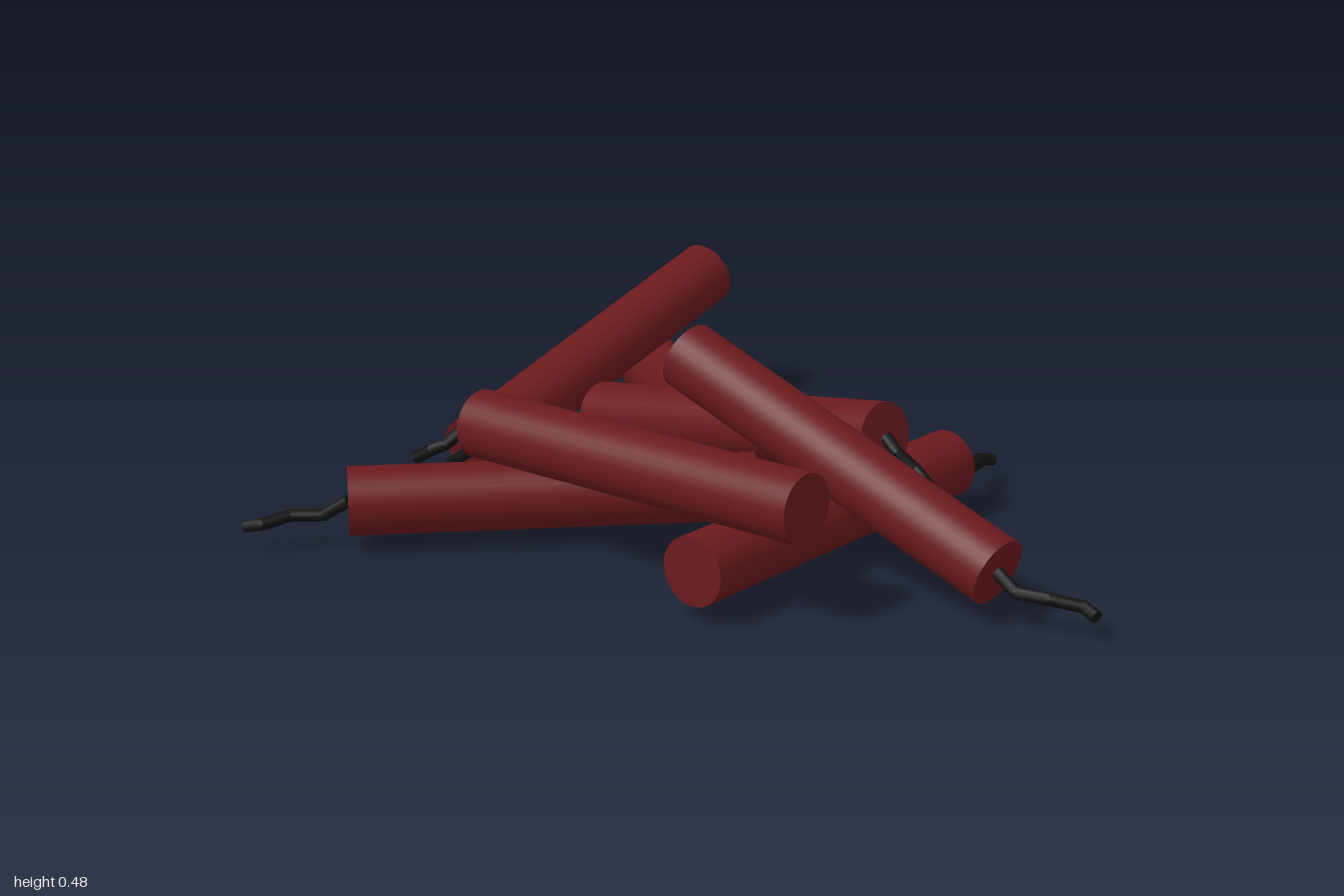
import * as THREE from 'three';

const RADIUS = 0.077;
const FUSE_RADIUS = 0.014;

// Each stick: plain end, fused end, then the points of the fuse beyond the fused end
const STICKS = [
  { name: 'leaningBackStick', a: [-0.69, 0.33, -0.757], b: [-0.69, 0.08, 0.11],
    fuse: [[-0.695, 0.065, 0.17], [-0.675, 0.05, 0.21], [-0.69, 0.045, 0.27], [-0.68, 0.03, 0.33]] },
  { name: 'backStick', a: [0.013, 0.117, -0.174], b: [-0.775, 0.117, -0.615],
    fuse: [[-0.83, 0.08, -0.68], [-0.89, 0.08, -0.715], [-0.96, 0.07, -0.72], [-0.99, 0.06, -0.75]] },
  { name: 'middleStick', a: [-0.54, 0.125, -0.195], b: [0.355, 0.278, -0.108],
    fuse: [[0.39, 0.25, -0.105], [0.43, 0.215, -0.12], [0.46, 0.2, -0.11], [0.5, 0.16, -0.115]] },
  { name: 'topStick', a: [-0.08, 0.415, 0.042], b: [0.775, 0.113, 0.063],
    fuse: [[0.83, 0.085, 0.075], [0.9, 0.082, 0.055], [0.96, 0.07, 0.02], [1.0, 0.06, 0.03]] },
  { name: 'frontStick', a: [0.5, 0.27, 0.355], b: [-0.407, 0.27, 0.365],
    fuse: [[-0.45, 0.25, 0.375], [-0.48, 0.215, 0.405], [-0.51, 0.2, 0.42], [-0.55, 0.175, 0.43]] },
  { name: 'leftStick', a: [0.29, 0.117, 0.47], b: [0.29, 0.117, -0.437],
    fuse: [[0.297, 0.08, -0.5], [0.285, 0.08, -0.57], [0.25, 0.07, -0.62], [0.265, 0.06, -0.66]] },
  { name: 'diagonalStick', a: [0.05, 0.117, -0.035], b: [-0.578, 0.117, 0.613],
    fuse: [[-0.63, 0.08, 0.64], [-0.685, 0.08, 0.69], [-0.71, 0.07, 0.75], [-0.75, 0.06, 0.765]] },
];

const vec = (p) => new THREE.Vector3(...p);

// Capped cylinder running between two points
function rod(a, b, radius, sides, material) {
  const dir = b.clone().sub(a);
  const mesh = new THREE.Mesh(
    new THREE.CylinderGeometry(radius, radius, dir.length(), sides), material);
  mesh.position.copy(a).lerp(b, 0.5);
  mesh.quaternion.setFromUnitVectors(new THREE.Vector3(0, 1, 0), dir.normalize());
  return mesh;
}

// Kinked cord through the given points, with closed tip
function cord(points, material) {
  const group = new THREE.Group();
  for (let i = 1; i < points.length; i++) {
    const segment = rod(points[i - 1], points[i], FUSE_RADIUS, 10, material);
    segment.name = 'fuseSegment';
    group.add(segment);
    // rounded joint fills the gap at each bend
    if (i < points.length - 1) {
      const joint = new THREE.Mesh(new THREE.SphereGeometry(FUSE_RADIUS, 10, 6), material);
      joint.position.copy(points[i]);
      joint.name = 'fuseJoint';
      group.add(joint);
    }
  }
  return group;
}

export function createModel() {
  const model = new THREE.Group();
  model.name = 'stickPile';
  const red = new THREE.MeshStandardMaterial({ color: 0x6b1a1d });
  const black = new THREE.MeshStandardMaterial({ color: 0x111111 });

  for (const { name, a, b, fuse } of STICKS) {
    const stick = new THREE.Group();
    stick.name = name;
    const body = rod(vec(a), vec(b), RADIUS, 32, red);
    body.name = 'body';
    const wick = cord([b, ...fuse].map(vec), black);
    wick.name = 'fuse';
    stick.add(body, wick);
    model.add(stick);
  }
  return model;
}
